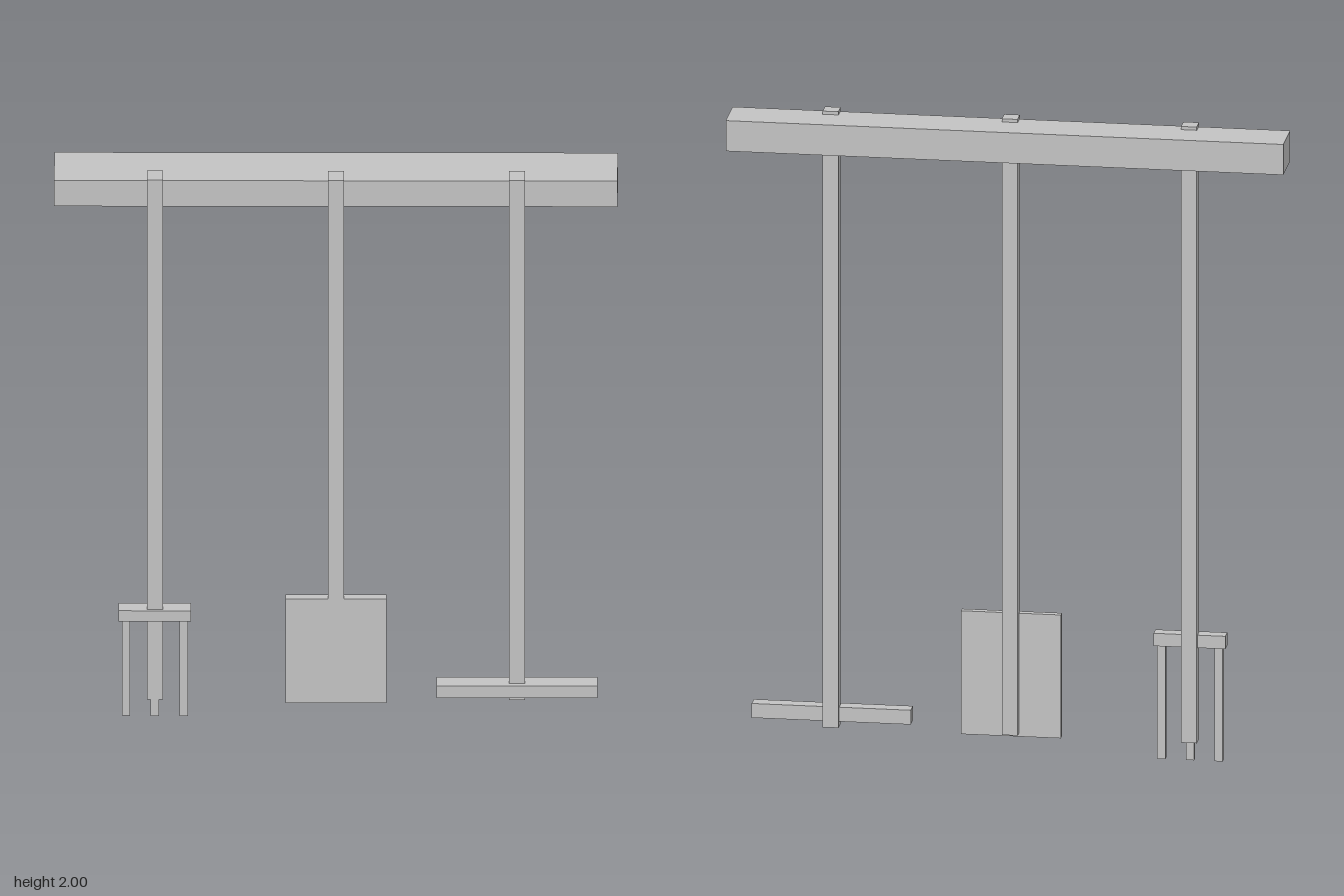
import * as THREE from 'three';

export function createModel() {
  const model = new THREE.Group();
  const grey = new THREE.MeshStandardMaterial({ color: 0xc2c2c2 });
  grey.name = 'light grey';

  // box from its limits on each axis
  function box(parent, name, [x0, x1], [y0, y1], [z0, z1]) {
    const mesh = new THREE.Mesh(new THREE.BoxGeometry(x1 - x0, y1 - y0, z1 - z0), grey);
    mesh.position.set((x0 + x1) / 2, (y0 + y1) / 2, (z0 + z1) / 2);
    mesh.name = name;
    parent.add(mesh);
  }

  // a tool is a group holding a long square handle
  function tool(name, x) {
    const group = new THREE.Group();
    group.name = name;
    group.position.x = x;
    box(group, 'handle', [-0.024, 0.024], [0.061, 2], [0.024, 0.072]);
    model.add(group);
    return group;
  }

  // wall rail the tools hang from
  box(model, 'rail', [-0.848, 0.848], [1.894, 1.99], [-0.083, 0.061]);

  // fork: crossbar and three tines
  const fork = tool('fork', -0.545);
  box(fork, 'crossbar', [-0.109, 0.109], [0.357, 0.397], [0.038, 0.078]);
  for (const x of [-0.087, 0, 0.087]) {
    box(fork, 'tine', [x - 0.0125, x + 0.0125], [0, 0.37], [0.047, 0.071]);
  }

  // spade: flat blade
  const spade = tool('spade', 0);
  box(spade, 'blade', [-0.152, 0.152], [0.05, 0.438], [0.051, 0.0723]);

  // rake: wide head
  const rake = tool('rake', 0.545);
  box(rake, 'head', [-0.242, 0.242], [0.077, 0.122], [0.038, 0.083]);

  return model;
}
